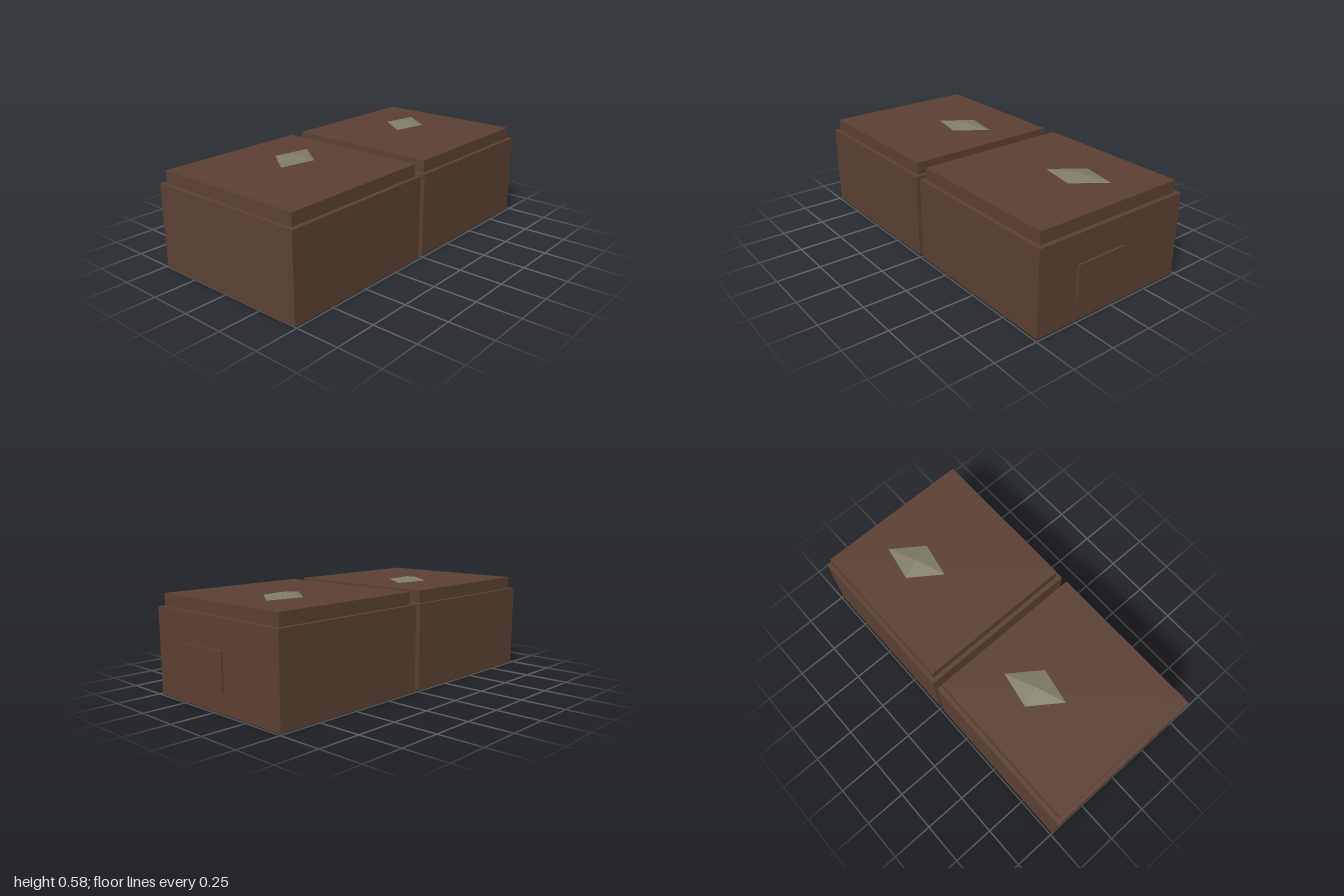
import * as THREE from 'three';

export function createModel() {
  const wood = new THREE.MeshStandardMaterial({ color: 0x5c4033 });
  wood.name = 'dark brown';
  const stone = new THREE.MeshStandardMaterial({ color: 0x807c6c, flatShading: true });
  stone.name = 'grey stone';

  const addBox = (parent, name, size, position) => {
    const mesh = new THREE.Mesh(new THREE.BoxGeometry(...size), wood);
    mesh.name = name;
    mesh.position.set(...position);
    parent.add(mesh);
  };

  // Skewed, flattened octahedron: its equator is a rhomboid just above the lid
  const gemGeometry = new THREE.OctahedronGeometry(1);
  gemGeometry.applyMatrix4(new THREE.Matrix4().makeBasis(
    new THREE.Vector3(0.17, 0, -0.07),
    new THREE.Vector3(0, 0.022, 0),
    new THREE.Vector3(0.04, 0, 0.11),
  ));
  gemGeometry.computeVertexNormals();

  const model = new THREE.Group();
  model.name = 'pairOfChests';

  // Two identical chests side by side
  [['rightChest', -0.512], ['leftChest', 0.5]].forEach(([name, x]) => {
    const chest = new THREE.Group();
    chest.name = name;
    chest.position.x = x;
    addBox(chest, 'body', [0.976, 0.485, 0.976], [0, 0.2425, 0]);
    addBox(chest, 'lid', [0.926, 0.07, 0.926], [0, 0.52, 0]);
    addBox(chest, 'sidePlate', [0.024, 0.21, 0.316], [0.488, 0.215, 0.087]);

    const gem = new THREE.Mesh(gemGeometry, stone);
    gem.name = 'lidStone';
    gem.position.set(0.12, 0.558, -0.1);
    chest.add(gem);
    model.add(chest);
  });

  return model;
}
